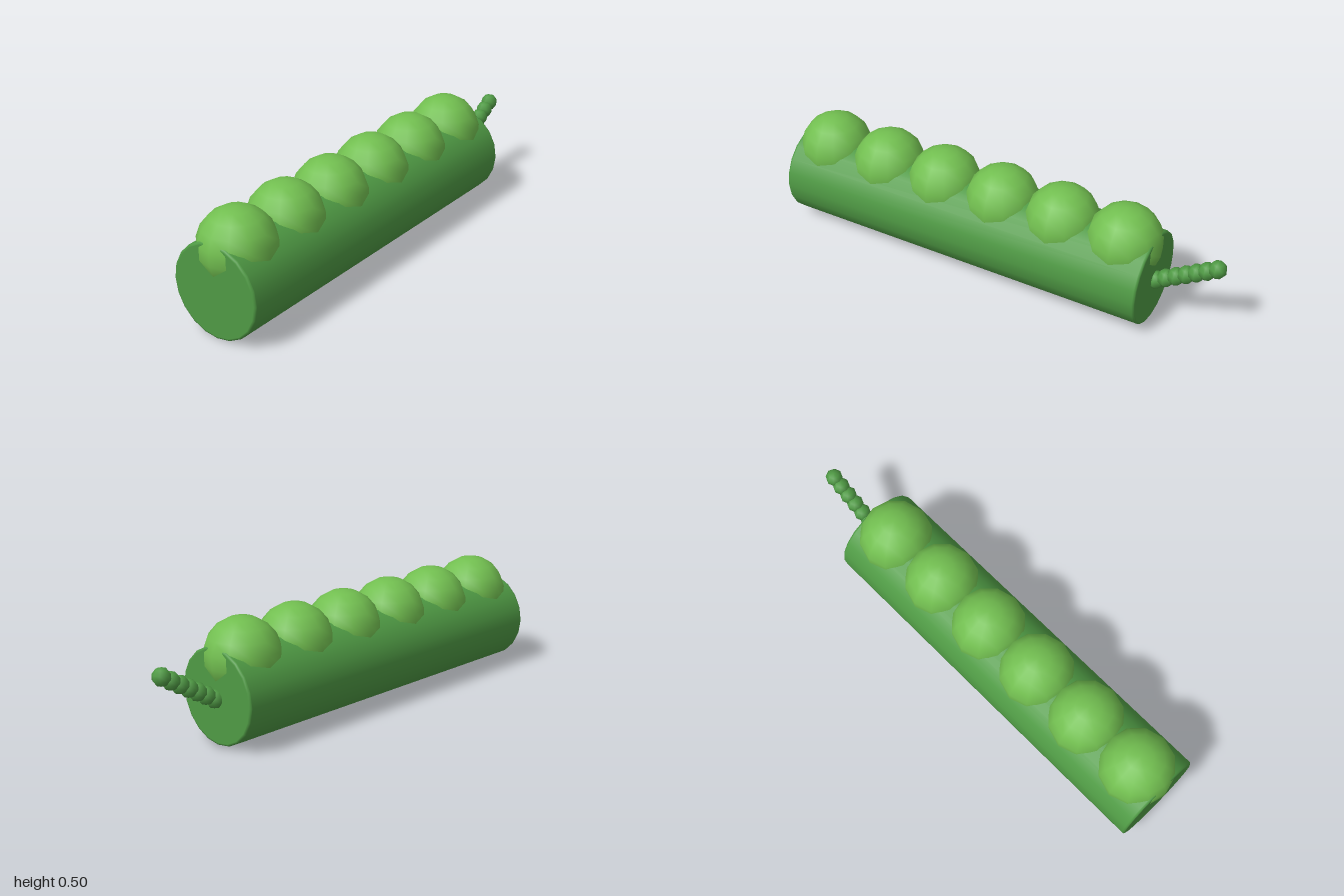
import * as THREE from 'three';

export function createModel() {
  const group = new THREE.Group();
  group.name = 'peaPod';
  const podGreen = new THREE.MeshStandardMaterial({ color: 0x4f9a44 });
  podGreen.name = 'pod green';
  const peaGreen = new THREE.MeshStandardMaterial({ color: 0x72bf50 });
  peaGreen.name = 'pea green';

  const add = (name, geometry, material, x, y) => {
    const mesh = new THREE.Mesh(geometry, material);
    mesh.name = name;
    mesh.position.set(x, y, 0);
    group.add(mesh);
    return mesh;
  };

  // Pod: a lathed cylinder lying along x, with slightly softened rims
  const R = 0.2, H = 0.845, B = 0.008;
  const half = [[0, H], [R - B - 0.002, H], [R - B, H], [R - B * 0.3, H - B * 0.3], [R, H - B], [R, H - B - 0.002]];
  const profile = [
    ...half.map(([r, h]) => new THREE.Vector2(r, -h)),
    ...half.slice().reverse().map(([r, h]) => new THREE.Vector2(r, h)),
  ];
  const pod = add('pod', new THREE.LatheGeometry(profile, 20), podGreen, -0.14, R);
  pod.rotation.z = -Math.PI / 2;

  // Row of peas sunk into the top of the pod
  const peaGeometry = new THREE.SphereGeometry(0.16, 12, 9);
  for (let i = 0; i < 6; i++) {
    add('pea' + (i + 1), peaGeometry, peaGreen, -0.845 + i * 0.282, 0.34);
  }

  // Stem: a rising chain of small beads
  const beadGeometry = new THREE.SphereGeometry(0.038, 8, 5);
  for (let i = 0; i < 7; i++) {
    add('stemBead' + (i + 1), beadGeometry, podGreen, 0.712 + i * 0.0417, 0.195 + i * 0.025);
  }
  return group;
}
